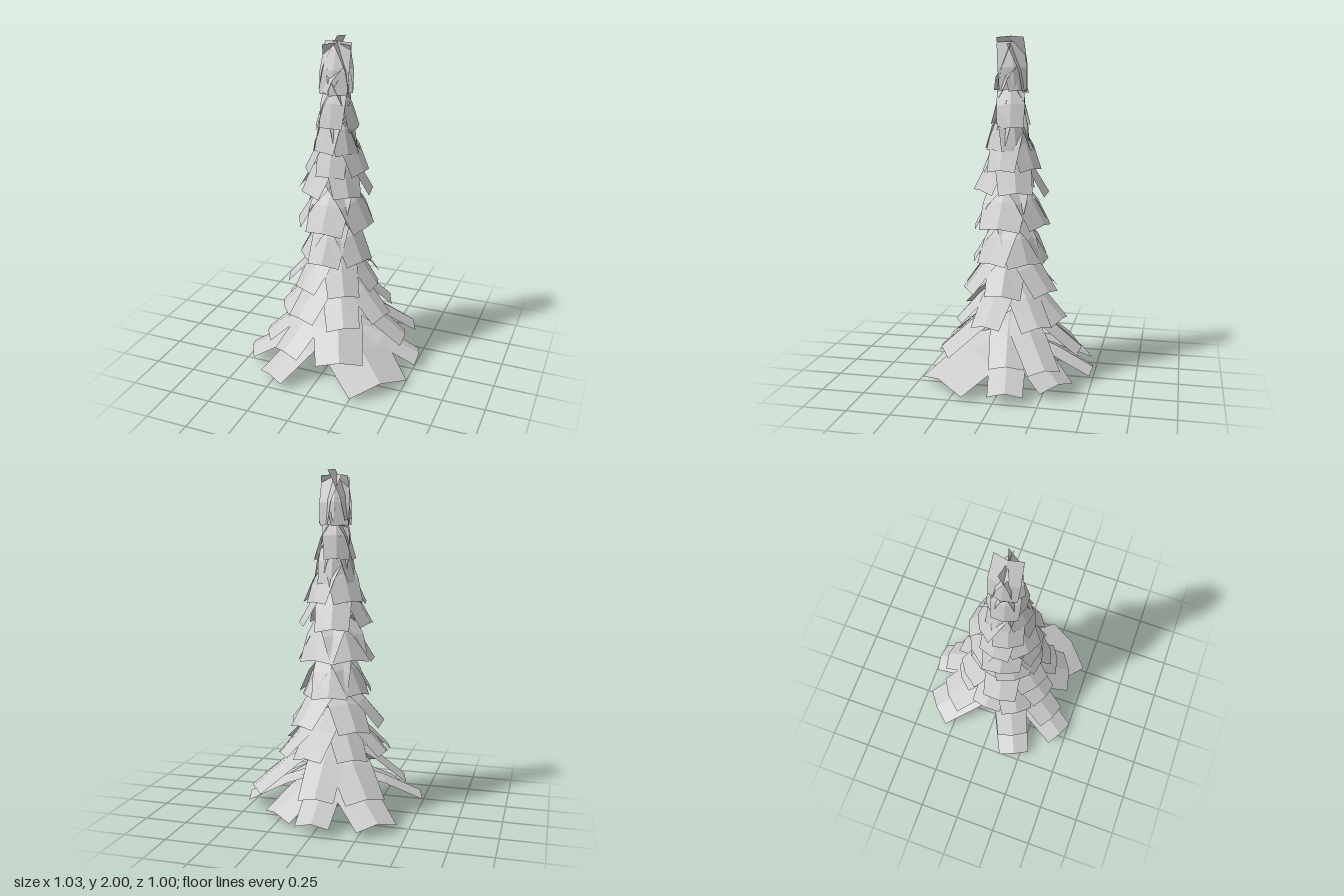
import * as THREE from 'three';

const needleGrey = new THREE.MeshStandardMaterial({ color: 0xcccccc, side: THREE.DoubleSide });
needleGrey.name = 'pale grey';

// Small seeded generator for natural variation
let seed = 11;
function jitter(amount) {
  seed = (seed * 16807) % 2147483647;
  return (seed / 2147483647 * 2 - 1) * amount;
}

// Drooping branch: a strip two faces wide, folded along its ridge.
// The angle is in degrees from +x towards +z.
function branch(angle, rootY, tipY, reach, width, twist = 0) {
  const a = THREE.MathUtils.degToRad(angle);
  const along = new THREE.Vector2(reach, tipY - rootY).normalize();
  const normal = new THREE.Vector2(-along.y, along.x);
  const rows = [[0, 0, 0.95], [0.55, 0.018, 1.05], [1, 0, 0.98]];
  const points = [];
  for (const [t, bulge, scale] of rows) {
    for (const side of [-1, 0, 1]) {
      const lift = bulge - Math.abs(side) * width * 0.14 + side * twist * t;
      const r = reach * t + normal.x * lift;
      const y = rootY + (tipY - rootY) * t + normal.y * lift;
      const w = side * width * 0.5 * scale;
      points.push(r * Math.cos(a) - w * Math.sin(a), y, r * Math.sin(a) + w * Math.cos(a));
    }
  }
  const index = [];
  for (let row = 0; row < 2; row++) {
    for (let col = 0; col < 2; col++) {
      const i = row * 3 + col;
      index.push(i, i + 1, i + 3, i + 1, i + 4, i + 3);
    }
  }
  const indexed = new THREE.BufferGeometry();
  indexed.setAttribute('position', new THREE.Float32BufferAttribute(points, 3));
  indexed.setIndex(index);
  const geometry = indexed.toNonIndexed();
  geometry.computeVertexNormals();
  const mesh = new THREE.Mesh(geometry, needleGrey);
  mesh.name = 'branch';
  return mesh;
}

// Broad lower tiers: angle, reach, width, tip height
const skirt = [
  [-90, 0.5, 0.2, 0.07], [-132, 0.53, 0.26, 0.07], [156, 0.53, 0.2, 0.07],
  [118, 0.53, 0.2, 0.07], [40, 0.525, 0.4, 0.08], [-8, 0.52, 0.2, 0.07],
  [-51, 0.43, 0.26, 0.05],
];
const secondTier = [
  [-90, 0.43, 0.21, 0.19], [-130, 0.43, 0.25, 0.18], [156, 0.43, 0.2, 0.18],
  [116, 0.43, 0.2, 0.19], [67, 0.42, 0.28, 0.19], [-8, 0.43, 0.2, 0.19],
  [-34, 0.5, 0.2, 0.18],
];

// Upper tiers: tip height, reach, root height, width, branch angles
const upperTiers = [
  [0.38, 0.335, 0.66, 0.2, [62, 112, 188, 150, -125, -75, -38, 15]],
  [0.54, 0.28, 0.82, 0.2, [60, 118, 172, -130, -60, 0]],
  [0.72, 0.215, 1.01, 0.21, [92, 150, -150, -95, -40, 25]],
  [0.92, 0.22, 1.22, 0.24, [93, 172, -130, -72, 10]],
  [1.12, 0.215, 1.41, 0.19, [50, 125, 185, -100, -20]],
  [1.25, 0.175, 1.54, 0.18, [85, 160, -135, -60, 10]],
  [1.36, 0.135, 1.64, 0.16, [40, 110, -170, -95, -25]],
  [1.5, 0.115, 1.78, 0.15, [92, 170, -110, -10]],
  [1.69, 0.085, 1.84, 0.13, [50, 140, -130, -45]],
];

// Tip of the tree: angle, root height, tip height, reach
const crown = [[90, 1.97, 1.69, 0.08], [180, 2.0, 1.72, 0.1], [-25, 1.97, 1.7, 0.08], [-100, 1.96, 1.69, 0.09]];

export function createModel() {
  seed = 11;
  const tree = new THREE.Group();
  tree.name = 'firTree';

  // Slender trunk
  const trunkShape = new THREE.CylinderGeometry(0.008, 0.027, 1.85, 8).toNonIndexed();
  trunkShape.computeVertexNormals();
  const trunk = new THREE.Mesh(trunkShape, needleGrey);
  trunk.name = 'trunk';
  trunk.position.y = 0.925;
  tree.add(trunk);

  const addTier = (name, branches) => {
    const tier = new THREE.Group();
    tier.name = name;
    tier.add(...branches);
    tree.add(tier);
  };

  addTier('skirtTier', skirt.map(([a, r, w, y]) => branch(a, 0.29, y, r, w)));
  addTier('secondTier', secondTier.map(([a, r, w, y]) => branch(a, 0.49, y, r, w)));

  // Tiers shrink and steepen towards the top
  upperTiers.forEach(([tipY, reach, rootY, width, angles], level) => {
    addTier('upperTier' + (level + 1), angles.map((angle) => {
      const dy = jitter(0.012);
      return branch(angle, rootY + dy, tipY + dy, reach * (1 + jitter(0.07)),
        width * (1 + jitter(0.06)), jitter(0.018));
    }));
  });

  addTier('crown', crown.map(([a, root, tip, reach]) => branch(a, root, tip, reach, 0.165)));
  return tree;
}
